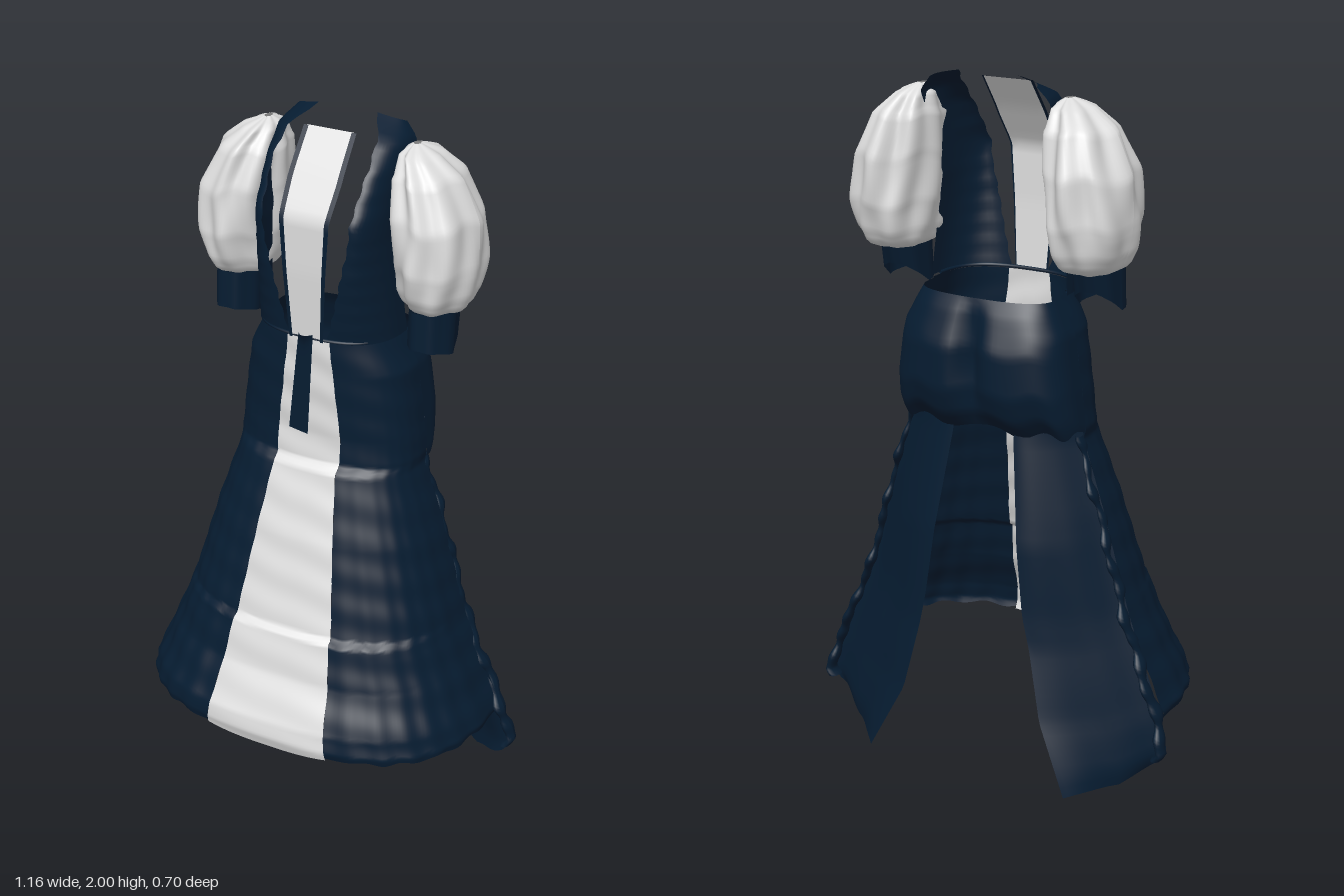
import * as THREE from 'three';

const navy = new THREE.MeshStandardMaterial({ color: 0x061c31, side: THREE.DoubleSide });
const ivory = new THREE.MeshStandardMaterial({ color: 0xdddddd, side: THREE.DoubleSide });
navy.name = 'navy';
ivory.name = 'ivory';
const CX = -0.02; // the garment hangs slightly off centre

// Reads a profile given as [y, value] pairs with falling y
function at(keys, y) {
  if (y >= keys[0][0]) return keys[0][1];
  for (let i = 1; i < keys.length; i++) {
    const [y1, b] = keys[i], [y0, a] = keys[i - 1];
    if (y >= y1) return a + (b - a) * (y0 - y) / (y0 - y1);
  }
  return keys[keys.length - 1][1];
}

// Open cloth surface from a rule f(u, v) -> [x, y, z]
function cloth(name, mat, nu, nv, f) {
  const pos = [], idx = [];
  for (let j = 0; j <= nv; j++) for (let i = 0; i <= nu; i++) pos.push(...f(i / nu, j / nv));
  for (let j = 0; j < nv; j++) for (let i = 0; i < nu; i++) {
    const a = j * (nu + 1) + i, b = a + 1, c = a + nu + 1, d = c + 1;
    idx.push(a, c, b, b, c, d);
  }
  const g = new THREE.BufferGeometry();
  g.setAttribute('position', new THREE.Float32BufferAttribute(pos, 3));
  g.setIndex(idx);
  g.computeVertexNormals();
  const m = new THREE.Mesh(g, mat);
  m.name = name;
  return m;
}

// Skirt profiles: half width, front depth (with a tuck step), half width of the light panel
const WIDTH = [[1.4, 0.203], [1.3, 0.25], [1.15, 0.272], [1.03, 0.285], [1, 0.28], [0.8, 0.345], [0.5, 0.43], [0.3, 0.51], [0.22, 0.545], [0.18, 0.535]];
const FRONT = [[1.4, 0.07], [1.1, 0.068], [1.02, 0.075], [1, 0.1], [0.8, 0.163], [0.535, 0.234], [0.525, 0.254], [0.4, 0.287], [0.27, 0.349], [0.22, 0.355], [0.18, 0.345]];
const PANEL = [[1.4, 0.065], [1.1, 0.1], [1, 0.1], [0.55, 0.155], [0.2, 0.2]];
const sideZ = -0.12, EXP = 0.72;

function skirtPoint(a, y, ripple) {
  const s = Math.sin(a), c = Math.max(0, Math.cos(a)), w = at(WIDTH, y);
  const r = 1 + ripple * (0.6 * Math.sin(y * 61 + a * 3) + 0.7 * Math.sin(a * 31 + y * 6) * (1.4 - y));
  return [CX + Math.sign(s) * w * r * Math.abs(s) ** EXP, y, sideZ + (at(FRONT, y) - sideZ) * r * c ** EXP];
}
const panelAngle = y => Math.asin((at(PANEL, y) / at(WIDTH, y)) ** (1 / EXP));

function addSkirt(g) {
  g.add(cloth('skirtFrontPanel', ivory, 16, 160, (u, v) => {
    const y = 1.4 - v * (1.205 + 0.012 * Math.cos((u - 0.5) * 3));
    const p = skirtPoint((2 * u - 1) * panelAngle(y), y, 0);
    p[2] += 0.002 * Math.sin(y * 55 + u * 3);
    return p;
  }));
  for (const s of [-1, 1]) {
    g.add(cloth('skirtSide', navy, 48, 160, (u, v) => {
      const y = 1.4 - v * (1.198 + 0.005 * Math.sin(u * 29));
      const a0 = panelAngle(y);
      return skirtPoint(s * (a0 + (Math.PI / 2 - a0) * u), y, 0.006);
    }));
    // Long tail panel hanging behind each side, drifting outward as it falls
    const inner = s < 0 ? [[1, 0.14], [0.5, 0.195], [0.2, 0.27], [0, 0.365]] : [[1, 0.055], [0.5, 0.125], [0.2, 0.185], [0, 0.285]];
    const outer = [[1.08, 0.27], [1, 0.28], [0.8, 0.345], [0.5, 0.43], [0.2, 0.55], [0.1, 0.575], [0.05, 0.54]];
    const backZ = [[1.1, -0.22], [0.7, -0.275], [0.4, -0.285], [0, -0.345]];
    const edgeX = y => at(outer, y) + s * CX * Math.min(1, Math.max(0, y * 2)); // hem is centred
    g.add(cloth('tailPanel', navy, 20, 40, (u, v) => {
      const yo = 1.08 - v * 1.02, yi = 1.08 - v * 1.08;
      const y = yo + (yi - yo) * Math.min(1, u * 2.2);
      const ox = edgeX(yo), ix = at(inner, yi);
      const low = v ** 2, round = Math.sin(u * Math.PI / 2);
      const k = round * (1 - low) + u ** 1.4 * low; // rounded above, hollow at the hem
      return [s * (ox + (ix - ox) * u), y, sideZ + (at(backZ, yi) - sideZ) * k + 0.007 * v * Math.sin(u * 13) * (1 - u)];
    }));
    // Gathered ruffle where the side meets the tail
    g.add(cloth('seamRuffle', navy, 10, 100, (u, v) => {
      const y = 1.01 - v * 0.93, t = u * Math.PI * 2;
      const r = 0.01 + 0.003 * Math.sin(v * 83) + 0.002 * Math.sin(v * 47) + 0.007 * v;
      const x = s * (edgeX(y) - 0.008);
      return [x + r * Math.cos(t) * 0.8, y, sideZ - 0.012 + 0.01 * Math.sin(v * 31) + r * 1.5 * Math.sin(t)];
    }));
  }
  // Two-lobed bustle closing the hips at the back, open at the top
  const depth = [[1.4, 0.115], [1.36, 0.143], [1.26, 0.18], [1.14, 0.18], [1.07, 0.155], [1.02, 0.11]];
  g.add(cloth('bustle', navy, 48, 24, (u, v) => {
    const a = (u * 2 - 1) * Math.PI / 2, y = 1.395 - v * 0.375;
    const x = Math.sign(a) * at(WIDTH, y) * Math.abs(Math.sin(a)) ** 0.8;
    const notch = 0.05 * Math.sin(v * Math.PI) * Math.exp(-((x / 0.035) ** 2));
    return [CX + x, y + 0.012 * Math.sin(u * 30) * v, sideZ - at(depth, y) * Math.cos(a) ** 0.55 + notch];
  }));
}

function addBodice(g) {
  const innerX = [[2, 0.09], [1.96, 0.135], [1.9, 0.145], [1.7, 0.13], [1.5, 0.085], [1.4, 0.06]];
  const outerX = [[2, 0.165], [1.96, 0.2], [1.7, 0.195], [1.5, 0.21], [1.4, 0.217]];
  const frontZ = [[2, -0.16], [1.95, -0.06], [1.88, 0.01], [1.76, 0.085], [1.6, 0.085], [1.4, 0.07]];
  const outerZ = [[2, -0.19], [1.95, -0.18], [1.85, -0.13], [1.7, -0.08], [1.4, -0.11]];
  for (const s of [-1, 1]) {
    g.add(cloth('bodicePanel', navy, 12, 40, (u, v) => {
      const y = 1.4 + v * 0.6;
      const xi = at(innerX, y) + 0.003 * Math.sin(y * 110), xo = at(outerX, y);
      const zi = at(frontZ, y), zo = at(outerZ, y);
      const a = u * Math.PI / 2;
      return [CX + s * (xi + (xo - xi) * Math.sin(a)), y - 0.02 * u * v, zo + (zi - zo) * Math.cos(a) ** 0.8];
    }));
  }
  // Narrow centre panel with dark edging
  const half = [[1.97, 0.073], [1.85, 0.075], [1.4, 0.048]];
  const centreZ = [[1.97, -0.06], [1.88, 0.01], [1.76, 0.09], [1.6, 0.09], [1.4, 0.078]];
  const strip = (name, mat, from, to, off) => g.add(cloth(name, mat, 6, 24, (u, v) => {
    const y = 1.4 + 0.57 * v, w = at(half, y), k = from + (to - from) * u;
    return [CX + k * w, y, at(centreZ, y) + off];
  }));
  strip('centrePanel', ivory, -1, 1, 0);
  strip('centreEdging', navy, -1.1, -0.9, 0.003);
  strip('centreEdging', navy, 0.9, 1.1, 0.003);
}

function addSleeves(g) {
  const cx = [[1.95, 0.23], [1.88, 0.268], [1.75, 0.3], [1.6, 0.31], [1.49, 0.305]];
  const rx = [[1.95, 0.01], [1.93, 0.05], [1.87, 0.09], [1.76, 0.115], [1.63, 0.117], [1.55, 0.107], [1.505, 0.09], [1.49, 0.062]];
  const rz = [[1.95, 0.015], [1.93, 0.07], [1.87, 0.12], [1.76, 0.158], [1.63, 0.163], [1.55, 0.143], [1.505, 0.115], [1.49, 0.075]];
  for (const s of [-1, 1]) {
    g.add(cloth('puffSleeve', ivory, 80, 40, (u, v) => {
      const t = u * Math.PI * 2, y = 1.95 - v * 0.46;
      // Soft uneven gathers, deepest near the shoulder
      const p = 1 + (0.08 - 0.04 * v) * Math.sin(8 * t + 2 * Math.sin(v * 4)) + 0.035 * Math.sin(5 * t + v * 7) - 0.01;
      const lift = 0.012 * Math.sin(4 * t) * Math.sin(v * Math.PI);
      return [CX + s * (at(cx, y) + at(rx, y) * p * Math.cos(t)), y + lift, -0.125 + at(rz, y) * p * Math.sin(t)];
    }));
    // Cuff, cut higher at the back
    g.add(cloth('cuff', navy, 32, 8, (u, v) => {
      const t = u * Math.PI * 2, r = 1 + 0.04 * Math.sin(7 * t), q = Math.sin(t);
      const y = 1.505 - v * (0.13 - 0.06 * Math.max(0, -q) - 0.02 * Math.max(0, q));
      return [CX + s * (0.308 + 0.066 * r * Math.cos(t)), y, -0.095 + 0.012 * v + (0.088 - 0.008 * v) * r * q];
    }));
  }
}

function addWaist(g) {
  // Waist cord following the front, and the hanging tie
  const pts = [];
  for (let i = 0; i <= 20; i++) {
    const p = skirtPoint((i / 10 - 1) * 1.5, 1.4, 0);
    pts.push(new THREE.Vector3(p[0], 1.405, p[2] + 0.005));
  }
  const cord = new THREE.Mesh(new THREE.TubeGeometry(new THREE.CatmullRomCurve3(pts), 50, 0.005, 6), navy);
  cord.name = 'waistCord';
  g.add(cord);
  g.add(cloth('hangingTie', navy, 4, 16, (u, v) =>
    [-0.02 - 0.025 * v + (u - 0.5) * (0.045 + 0.015 * v), 1.42 - 0.305 * v - 0.01 * u * v,
      0.084 + 0.02 * Math.exp(-v * 18) * Math.sin(u * Math.PI)]));
}

export function createModel() {
  const g = new THREE.Group();
  g.name = 'dress';
  addSkirt(g);
  addBodice(g);
  addSleeves(g);
  addWaist(g);
  return g;
}
